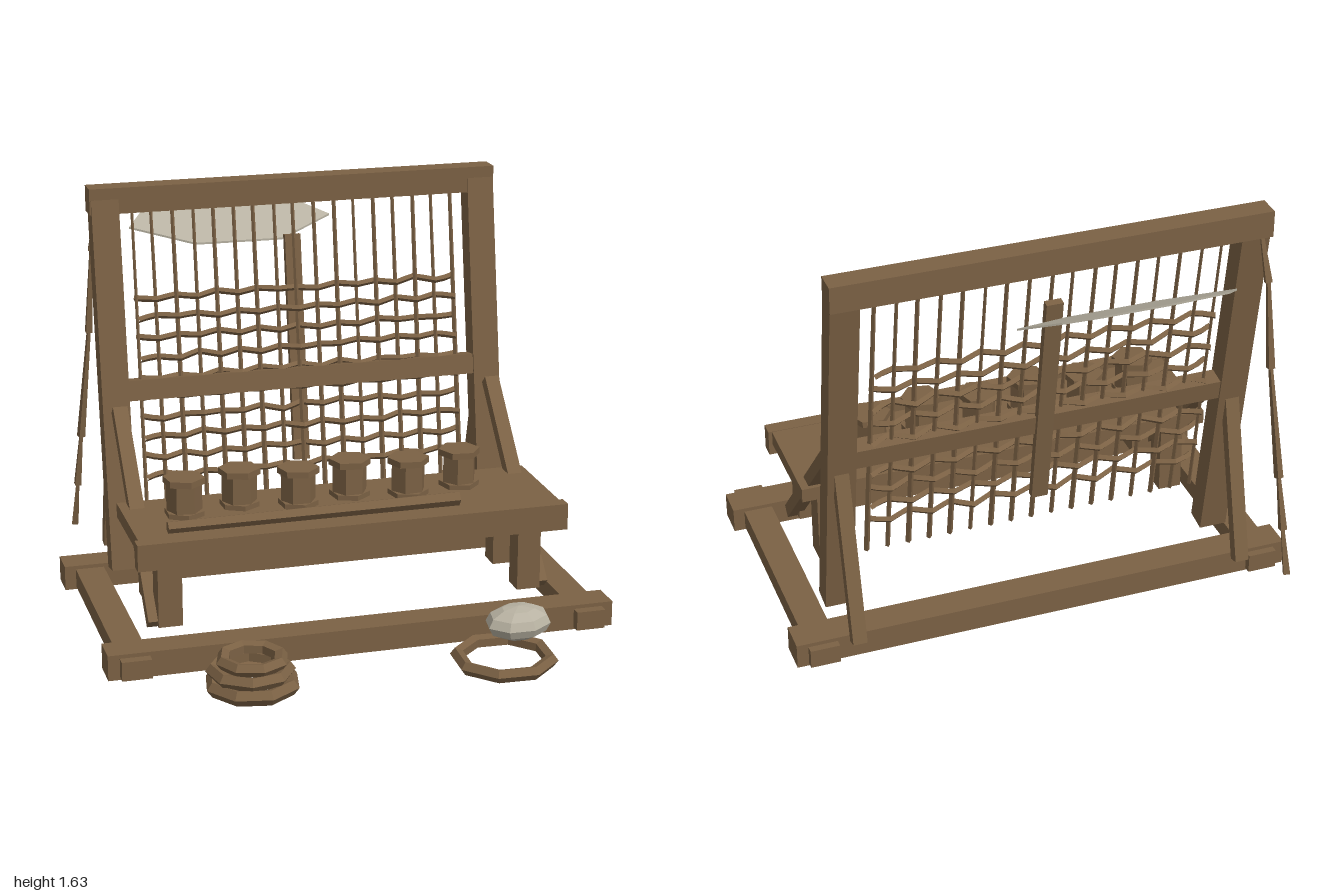
import * as THREE from 'three';

const V = (x, y, z) => new THREE.Vector3(x, y, z);

export function createModel() {
  const model = new THREE.Group();
  model.name = 'weavingLoom';
  const wood = new THREE.MeshStandardMaterial({ color: 0x7b6144, flatShading: true });
  wood.name = 'brown wood and fibre';
  const pale = new THREE.MeshStandardMaterial({ color: 0xb8b2a2, flatShading: true, side: THREE.DoubleSide });
  pale.name = 'pale wool';

  const add = (name, geo, mat = wood, parent = model) => {
    const m = new THREE.Mesh(geo, mat);
    m.name = name;
    parent.add(m);
    return m;
  };
  // Box given by its limits on each axis
  const box = (name, x0, x1, y0, y1, z0, z1) =>
    add(name, new THREE.BoxGeometry(x1 - x0, y1 - y0, z1 - z0))
      .position.set((x0 + x1) / 2, (y0 + y1) / 2, (z0 + z1) / 2);
  // Board in a side plane, leaning from (y0, z0) up to (y1, z1)
  const lean = (name, x, w, d, y0, z0, y1, z1) => {
    const m = add(name, new THREE.BoxGeometry(w, Math.hypot(y1 - y0, z1 - z0), d));
    m.position.set(x, (y0 + y1) / 2, (z0 + z1) / 2);
    m.rotation.x = Math.atan2(z1 - z0, y1 - y0);
  };
  // Tapered rod between two points
  const rod = (name, a, b, ra, rb, sides) => {
    const m = add(name, new THREE.CylinderGeometry(rb, ra, a.distanceTo(b), sides));
    m.position.copy(a).lerp(b, 0.5);
    m.quaternion.setFromUnitVectors(V(0, 1, 0), b.clone().sub(a).normalize());
  };
  let seed = 7;
  const rand = () => (seed = (seed * 16807) % 2147483647) / 2147483647;
  // Depth of the leaning frame plane at height y
  const planeZ = y => -0.375 - 0.16 * (y - 0.115);

  // Ground frame
  box('frontBaseBeam', -1, 1, 0, 0.1, 0.335, 0.46);
  box('rearBaseBeam', -1, 1, 0, 0.1, -0.605, -0.48);
  for (const s of [-1, 1]) {
    const [a, b] = s < 0 ? [-0.955, -0.84] : [0.84, 0.955];
    box('sideBaseBeam', a, b, 0.01, 0.085, -0.635, 0.5);

    // Leaning uprights, rear struts and table braces
    lean('upright', s * 0.777, 0.11, 0.09, 0.115, -0.375, 1.58, planeZ(1.58));
    lean('rearStrut', s * 0.778, 0.055, 0.045, 0.115, -0.675, 0.78, -0.5);
    lean('tableBrace', s * 0.775, 0.058, 0.05, 0.115, 0.24, 0.78, -0.385);

    // Table legs
    for (const z of [0.222, -0.067])
      box('tableLeg', s * 0.72 - 0.047, s * 0.72 + 0.047, 0.11, 0.42, z - 0.047, z + 0.047);
  }

  // Frame rails and the board behind the weaving
  box('topRail', -0.838, 0.835, 1.528, 1.632, -0.66, -0.568);
  lean('middleRail', 0, 1.45, 0.075, 0.785, planeZ(0.785), 0.865, planeZ(0.865));
  lean('backBoard', -0.007, 0.065, 0.03, 0.475, -0.477, 1.39, -0.612);

  // Table
  box('tableTop', -0.84, 0.835, 0.418, 0.475, -0.15, 0.33);
  box('tableApron', -0.855, 0.85, 0.372, 0.477, 0.282, 0.34);

  // Warp threads
  for (let i = 0; i < 17; i++) {
    const x = -0.668 + i * 0.083;
    const r = 0.008 + rand() * 0.004;
    rod('warpThread', V(x, 0.33, planeZ(0.33)), V(x + (rand() - 0.5) * 0.01, 1.535, planeZ(1.535)),
      r, r * 0.7, 4);
  }
  // Weft threads passing in front of and behind the warp
  for (let row = 0; row < 10; row++) {
    const y = 1.185 - row * 0.079;
    const pts = [];
    for (let i = 0; i < 17; i++) {
      const side = (i + row) % 2 ? 1 : -1;
      pts.push(V(-0.668 + i * 0.083, y + (rand() - 0.5) * 0.012, planeZ(y) + side * 0.022));
    }
    add('weftThread', new THREE.TubeGeometry(new THREE.CatmullRomCurve3(pts), 32, 0.013, 4));
  }

  // Spools on the table
  [[-0.62, 0.085], [-0.392, 0.038], [-0.17, 0.088], [0.05, 0.042], [0.275, 0.088], [0.5, 0.042]]
    .forEach(([x, z], i) => {
      const spool = new THREE.Group();
      spool.name = 'spool';
      spool.position.set(x, 0.49, z);
      spool.rotation.y = i * 1.1;
      const disc = (name, r, h, y, turn) => {
        const m = add(name, new THREE.CylinderGeometry(r, r, h, 6), wood, spool);
        m.position.y = y;
        m.rotation.y = turn;
      };
      disc('spoolBase', 0.08, 0.02, 0.01, 0);
      disc('spoolBody', 0.069, 0.12, 0.075, 0.4);
      disc('spoolRim', 0.082, 0.025, 0.14, 0.15);
      model.add(spool);
    });

  // Shuttle stick lying on the table
  rod('shuttleStick', V(-0.725, 0.513, 0.27), V(0.43, 0.513, 0.253), 0.024, 0.029, 5);

  // Rope coils on the ground
  const coil = (name, x, y, z, R, r, turn) => {
    const m = add(name, new THREE.TorusGeometry(R, r, 5, 8).rotateX(Math.PI / 2));
    m.position.set(x, y, z);
    m.rotation.y = turn;
  };
  coil('ropeCoil', -0.505, 0.035, 0.685, 0.152, 0.031, 0.2);
  coil('ropeCoil', -0.51, 0.083, 0.68, 0.138, 0.029, 0.6);
  coil('ropeCoil', -0.505, 0.127, 0.685, 0.112, 0.027, 0.1);
  coil('ropeRing', 0.463, 0.033, 0.715, 0.178, 0.027, 0.35);

  // Ball of wool
  const ball = add('woolBall', new THREE.SphereGeometry(1, 8, 6), pale);
  ball.scale.set(0.137, 0.065, 0.11);
  ball.position.set(0.568, 0.11, 0.575);
  ball.rotation.y = 0.3;

  // Tilted fleece panel behind the top rail
  const outline = [[-0.64, -0.79], [-0.575, -0.87], [-0.33, -0.928], [-0.07, -0.928],
    [0.07, -0.89], [0.2, -0.795], [-0.03, -0.68], [-0.39, -0.682]];
  const panel = new THREE.ExtrudeGeometry(
    new THREE.Shape(outline.map(([x, z]) => new THREE.Vector2(x, -z))), { depth: 0.008, bevelEnabled: false });
  panel.rotateX(-Math.PI / 2);
  const p = panel.attributes.position;
  for (let i = 0; i < p.count; i++) p.setY(i, p.getY(i) + 1.353 - 0.53 * (p.getZ(i) + 0.68));
  panel.computeVertexNormals();
  add('fleecePanel', panel, pale);

  // Loose rope hanging from the rear corner
  const hang = [V(-0.8, 1.53, -0.645), V(-0.815, 1.36, -0.69), V(-0.83, 1.01, -0.725),
    V(-0.865, 0.55, -0.785), V(-0.88, 0.33, -0.82), V(-0.89, 0.145, -0.858)];
  for (let i = 0; i < hang.length - 1; i++)
    rod('hangingRope', hang[i], hang[i + 1], 0.009, 0.018, 4);

  return model;
}
